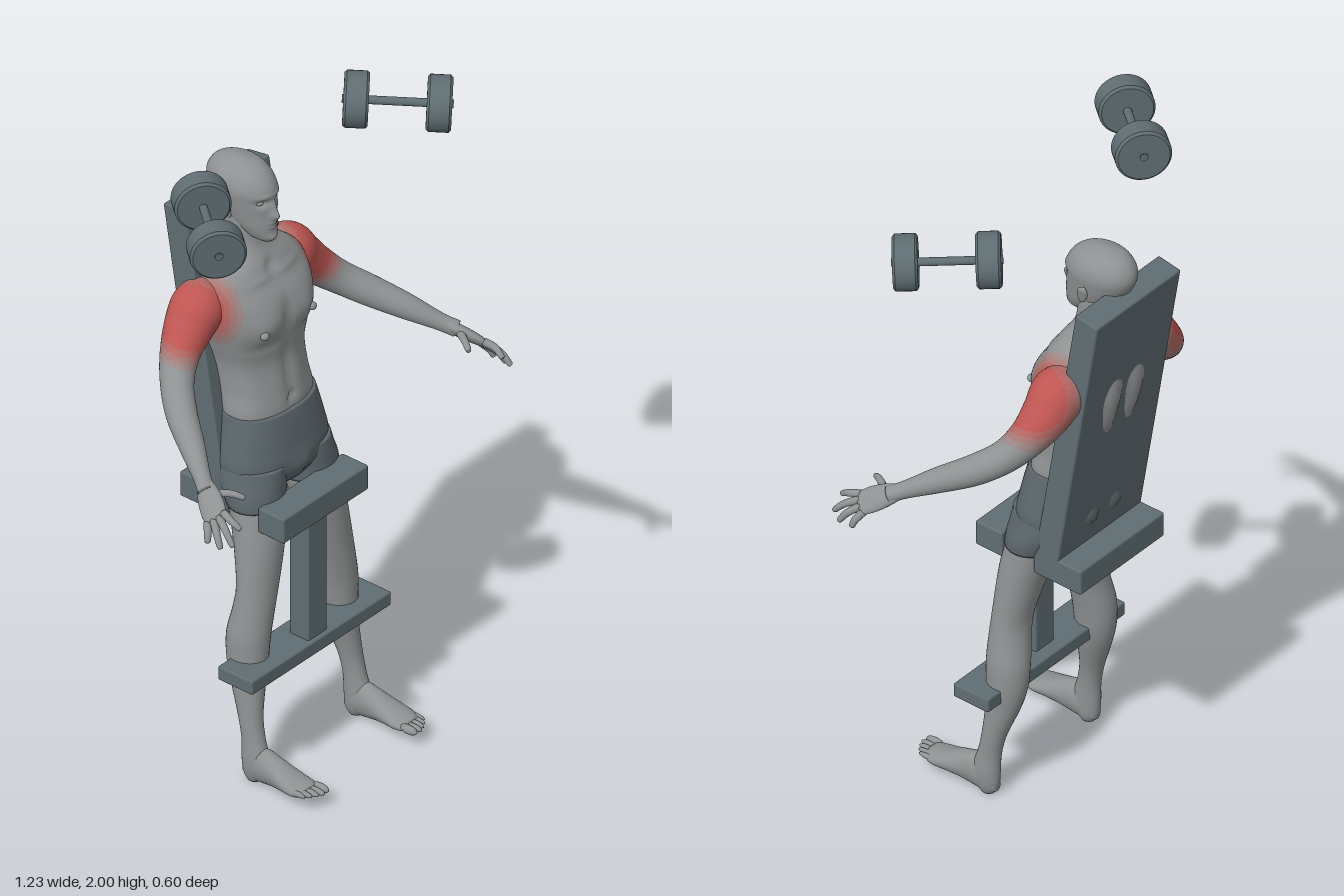
import * as THREE from 'three';
import { toCreasedNormals } from 'three/addons/utils/BufferGeometryUtils.js';
import { RoundedBoxGeometry } from 'three/addons/geometries/RoundedBoxGeometry.js';

const V = (x, y, z) => new THREE.Vector3(x, y, z);
const flat = (name, color) => {
  const m = new THREE.MeshStandardMaterial({ color });
  m.name = name;
  return m;
};

// Catmull-Rom blend between rows of numbers
function smoothRows(rows, steps) {
  const out = [];
  for (let i = 0; i < rows.length - 1; i++) {
    const a = rows[Math.max(i - 1, 0)], b = rows[i], c = rows[i + 1], d = rows[Math.min(i + 2, rows.length - 1)];
    for (let k = 0; k < steps; k++) {
      const t = k / steps;
      out.push(b.map((_, n) => 0.5 * (2 * b[n] + (c[n] - a[n]) * t + (2 * a[n] - 5 * b[n] + 4 * c[n] - d[n]) * t * t
        + (3 * b[n] - a[n] - 3 * c[n] + d[n]) * t ** 3)));
    }
  }
  out.push(rows[rows.length - 1]);
  return out;
}

// Closed skin over a stack of rings; pick(point) gives each face's material index
function skinRings(rings, pick = () => 0) {
  const n = rings[0].length, pts = rings.flat(), buckets = [];
  const middle = r => r.reduce((s, p) => s.add(p), V(0, 0, 0)).divideScalar(n);
  const start = pts.push(middle(rings[0])) - 1, end = pts.push(middle(rings[rings.length - 1])) - 1;
  const face = (...f) => {
    const k = pick(pts[f[0]].clone().add(pts[f[1]]).add(pts[f[2]]).divideScalar(3));
    (buckets[k] ??= []).push(...f);
  };
  const last = (rings.length - 1) * n;
  for (let j = 0; j < n; j++) {
    const q = (j + 1) % n;
    face(start, j, q);
    face(end, last + q, last + j);
    for (let i = 0; i < last; i += n) {
      face(i + j, i + n + j, i + q);
      face(i + q, i + n + j, i + n + q);
    }
  }
  const geo = new THREE.BufferGeometry().setFromPoints(pts), index = [];
  buckets.forEach((b, k) => {
    geo.addGroup(index.length, b.length, k);
    index.push(...b);
  });
  geo.setIndex(index);
  geo.computeVertexNormals();
  return geo;
}

// Upright form: rows [y, centre x, half width, front z, back z]; bumps [x, y, spread x, spread y, height, side]
function column(rows, { seg = 32, steps = 4, e = 1, bumps = [], pick } = {}) {
  const pw = v => Math.sign(v) * Math.abs(v) ** e;
  return skinRings(smoothRows(rows, steps).map(([y, cx, hw, zf, zb]) => Array.from({ length: seg }, (_, j) => {
    const a = j / seg * Math.PI * 2, s = Math.sin(a);
    const p = V(cx + hw * pw(Math.cos(a)), y, (zf + zb) / 2 + (zf - zb) / 2 * pw(s));
    let dz = 0;
    for (const [bx, by, sx, sy, h, side] of bumps)
      dz += side * h * Math.max(0, side * s) * Math.exp(-(((Math.abs(p.x) - bx) / sx) ** 2) - ((y - by) / sy) ** 2);
    p.z += dz;
    return p;
  })), pick);
}

// Limb along a path: rows [x, y, z, half width, half thickness]
function limb(rows, { seg = 20, steps = 4, up = V(0, 1, 0), pick } = {}) {
  const r = smoothRows(rows, steps), at = i => V(...r[Math.min(Math.max(i, 0), r.length - 1)].slice(0, 3));
  return skinRings(r.map((row, i) => {
    const t = at(i + 1).sub(at(i - 1)).normalize();
    const u = t.clone().cross(up).normalize(), v = u.clone().cross(t);
    return Array.from({ length: seg }, (_, j) => {
      const a = j / seg * Math.PI * 2;
      return at(i).addScaledVector(u, row[3] * Math.cos(a)).addScaledVector(v, (row[4] ?? row[3]) * Math.sin(a));
    });
  }), pick);
}

function mirrored(geo) {
  const g = geo.clone().scale(-1, 1, 1), ix = g.index.array;
  for (let i = 0; i < ix.length; i += 3) [ix[i], ix[i + 1]] = [ix[i + 1], ix[i]];
  g.computeVertexNormals();
  return g;
}

export function createModel() {
  const model = new THREE.Group();
  const steel = flat('equipment grey', 0x5f6d72), cloth = flat('shorts grey', 0x5c676c);
  const skin = [flat('skin grey', 0x8f9293), flat('pale tint', 0x9a8685), flat('soft tint', 0xa67875),
    flat('strong tint', 0xb36763), flat('muscle red', 0xbf5652)];
  const shoulder = V(0.25, 1.45, -0.14);
  const pick = p => Math.round(4 * THREE.MathUtils.clamp((0.155 - V(Math.abs(p.x), p.y, p.z).distanceTo(shoulder)) / 0.07, 0, 1));

  const add = (name, geo, mat, parent = model) => {
    const m = new THREE.Mesh(geo, mat);
    m.name = name;
    parent.add(m);
    return m;
  };
  const pair = (name, geo, mat) => {
    add(name + 'Left', geo, mat);
    add(name + 'Right', mirrored(geo), mat);
  };
  const blob = (x, y, z, rx, ry, rz) => new THREE.SphereGeometry(1, 16, 12).scale(rx, ry, rz).translate(x, y, z);
  const slab = (name, w, h, d, y, z) => {
    const m = add(name, new RoundedBoxGeometry(w, h, d, 2, 0.006), steel);
    m.position.set(0, y, z);
    return m;
  };

  // Bench
  slab('backBoard', 0.36, 0.89, 0.08, 1.29, -0.188).rotation.x = -0.163;
  slab('rearSeat', 0.36, 0.08, 0.17, 0.825, -0.155);
  slab('frontPad', 0.36, 0.08, 0.095, 0.825, 0.088);
  slab('post', 0.08, 0.43, 0.07, 0.58, 0.07);
  slab('footBar', 0.59, 0.045, 0.125, 0.36, 0.057);

  // Dumbbells
  const disc = toCreasedNormals(new THREE.LatheGeometry([[0, -0.035], [0.073, -0.035], [0.08, -0.028], [0.08, 0.028],
    [0.073, 0.035], [0, 0.035]].map(p => new THREE.Vector2(...p)), 40), 0.5);
  for (const s of [-1, 1]) {
    const near = V(s * 0.472, 1.912, 0.142), far = V(s * 0.328, 1.922, -0.036), span = far.distanceTo(near);
    const bell = new THREE.Group();
    bell.name = s > 0 ? 'dumbbellLeft' : 'dumbbellRight';
    bell.position.copy(near).add(far).multiplyScalar(0.5);
    bell.quaternion.setFromUnitVectors(V(0, 1, 0), far.clone().sub(near).normalize());
    add('bar', new THREE.CylinderGeometry(0.012, 0.012, span + 0.078, 16), steel, bell);
    for (const k of [-1, 1]) add('weight', disc, steel, bell).position.y = k * span / 2;
    model.add(bell);
  }

  // Torso and neck
  add('torso', column([
    [1.07, 0, 0.148, 0.015, -0.165], [1.11, 0, 0.15, 0.014, -0.17], [1.17, 0, 0.143, 0.003, -0.19],
    [1.25, 0, 0.146, -0.01, -0.213], [1.32, 0, 0.164, -0.004, -0.232], [1.39, 0, 0.182, 0.0, -0.248],
    [1.45, 0, 0.186, -0.012, -0.25], [1.5, 0, 0.178, -0.045, -0.24], [1.54, 0, 0.135, -0.065, -0.228],
    [1.58, 0, 0.075, -0.09, -0.218], [1.62, 0, 0.06, -0.1, -0.215], [1.69, 0, 0.057, -0.1, -0.215],
  ], {
    seg: 80, steps: 5, e: 0.85, pick,
    bumps: [[0.09, 1.385, 0.06, 0.05, 0.016, 1], [0, 1.4, 0.014, 0.06, -0.008, 1], [0.09, 1.32, 0.06, 0.012, -0.006, 1],
      [0, 1.21, 0.01, 0.1, -0.005, 1], [0.04, 1.2, 0.025, 0.1, 0.004, 1], [0, 1.13, 0.008, 0.01, -0.01, 1],
      [0, 1.53, 0.02, 0.02, -0.012, 1], [0.06, 1.51, 0.06, 0.01, 0.006, 1],
      [0.055, 1.34, 0.035, 0.13, 0.017, -1], [0, 1.3, 0.015, 0.2, -0.012, -1]],
  }), skin);
  pair('nipple', blob(0.1, 1.372, 0.0, 0.014, 0.012, 0.012), skin[0]);

  // Head
  add('head', column([
    [1.613, 0, 0.02, -0.06, -0.11], [1.628, 0, 0.036, -0.052, -0.15], [1.66, 0, 0.053, -0.052, -0.195],
    [1.7, 0, 0.064, -0.054, -0.24], [1.74, 0, 0.072, -0.054, -0.268], [1.775, 0, 0.076, -0.057, -0.279],
    [1.807, 0, 0.068, -0.076, -0.27], [1.832, 0, 0.047, -0.108, -0.243], [1.845, 0, 0.012, -0.16, -0.19],
  ], {
    seg: 80, steps: 8,
    bumps: [[0, 1.7, 0.013, 0.015, 0.02, 1], [0, 1.725, 0.009, 0.02, 0.009, 1], [0.03, 1.743, 0.016, 0.011, -0.014, 1],
      [0.03, 1.763, 0.025, 0.008, 0.004, 1], [0, 1.677, 0.022, 0.006, 0.006, 1], [0, 1.665, 0.018, 0.005, 0.005, 1],
      [0, 1.671, 0.022, 0.002, -0.004, 1], [0, 1.627, 0.02, 0.012, 0.006, 1]],
  }), skin[0]);
  pair('eye', blob(0.03, 1.743, -0.079, 0.012, 0.007, 0.01), skin[0]);
  pair('ear', limb([[0.07, 1.688, -0.15, 0.004, 0.004], [0.074, 1.7, -0.155, 0.005, 0.012], [0.079, 1.725, -0.162, 0.006, 0.018],
    [0.083, 1.74, -0.168, 0.006, 0.014], [0.082, 1.75, -0.17, 0.003, 0.004]], { up: V(0, 0, 1), seg: 14 }), skin[0]);

  // Shorts
  add('shortsHips', column([
    [0.875, 0, 0.1, 0.03, -0.12], [0.91, 0, 0.17, 0.048, -0.155], [0.95, 0, 0.185, 0.052, -0.168],
    [1.0, 0, 0.177, 0.044, -0.17], [1.06, 0, 0.163, 0.033, -0.17], [1.1, 0, 0.154, 0.024, -0.172],
  ], { seg: 56, e: 0.85, bumps: [[0.055, 0.95, 0.04, 0.045, 0.016, -1], [0, 0.94, 0.012, 0.06, -0.015, -1],
    [0, 0.93, 0.03, 0.03, 0.01, 1]] }), cloth);
  pair('shortsLeg', column([
    [0.835, 0.11, 0.091, 0.06, -0.1], [0.87, 0.108, 0.093, 0.057, -0.12], [0.91, 0.1, 0.092, 0.053, -0.15],
    [0.95, 0.093, 0.09, 0.048, -0.16],
  ]), cloth);

  // Legs
  pair('leg', column([
    [0.0, 0.215, 0.018, 0.08, 0.04], [0.025, 0.215, 0.028, 0.1, 0.026], [0.07, 0.216, 0.032, 0.11, 0.022],
    [0.13, 0.214, 0.03, 0.092, 0.02], [0.2, 0.21, 0.034, 0.078, 0.006], [0.3, 0.196, 0.046, 0.073, -0.03],
    [0.37, 0.19, 0.054, 0.075, -0.048], [0.45, 0.184, 0.06, 0.077, -0.05], [0.53, 0.169, 0.062, 0.077, -0.037],
    [0.6, 0.154, 0.067, 0.075, -0.034], [0.7, 0.134, 0.076, 0.073, -0.056], [0.78, 0.119, 0.082, 0.067, -0.08],
    [0.86, 0.108, 0.085, 0.05, -0.105],
  ]), skin[0]);

  // Feet, lofted from heel to toes and then tipped forward
  pair('foot', column([
    [0.028, 0.215, 0.014, -0.012, -0.045], [0.05, 0.215, 0.028, -0.001, -0.085], [0.09, 0.215, 0.033, -0.003, -0.112],
    [0.14, 0.216, 0.037, -0.012, -0.1], [0.19, 0.218, 0.044, -0.02, -0.08], [0.23, 0.218, 0.046, -0.024, -0.066],
    [0.26, 0.214, 0.036, -0.032, -0.058],
  ]).rotateX(Math.PI / 2), skin[0]);
  [[0.187, 0.273, 0.013], [0.206, 0.275, 0.0095], [0.223, 0.268, 0.009], [0.239, 0.258, 0.0085], [0.253, 0.245, 0.008]]
    .forEach(([x, z, r], i) => pair('toe' + (i + 1), blob(x, 0.048, z, r, r, 0.03), skin[0]));

  // Arms
  pair('arm', limb([
    [0.14, 1.455, -0.165, 0.06], [0.185, 1.447, -0.165, 0.077], [0.232, 1.402, -0.162, 0.07], [0.29, 1.347, -0.145, 0.056],
    [0.345, 1.295, -0.108, 0.047], [0.4, 1.25, -0.045, 0.044], [0.455, 1.206, 0.04, 0.036], [0.503, 1.166, 0.115, 0.025],
    [0.53, 1.145, 0.155, 0.024],
  ], { seg: 40, steps: 8, pick }), skin);

  // Hands
  const up = V(0.72, 0.69, 0);
  pair('palm', limb([[0.512, 1.158, 0.13, 0.022, 0.018], [0.53, 1.142, 0.16, 0.033, 0.018], [0.552, 1.122, 0.195, 0.038, 0.016],
    [0.571, 1.103, 0.225, 0.034, 0.011]], { up }), skin[0]);
  const fingers = {
    thumb: [[0.527, 1.143, 0.165], [0.497, 1.148, 0.21], [0.477, 1.138, 0.242]],
    indexFinger: [[0.553, 1.123, 0.235], [0.56, 1.115, 0.268], [0.556, 1.098, 0.296]],
    middleFinger: [[0.563, 1.112, 0.228], [0.581, 1.09, 0.268], [0.588, 1.06, 0.297]],
    ringFinger: [[0.572, 1.102, 0.216], [0.594, 1.077, 0.247], [0.604, 1.048, 0.267]],
    littleFinger: [[0.58, 1.092, 0.203], [0.598, 1.068, 0.217], [0.605, 1.048, 0.223]],
  };
  for (const [name, [a, b, c]] of Object.entries(fingers)) {
    const tip = c.map((v, i) => v + (c[i] - b[i]) * 0.12);
    pair(name, limb([[...a, 0.012], [...b, 0.0105], [...c, 0.008], [...tip, 0.003]], { up, seg: 12 }), skin[0]);
  }
  return model;
}
